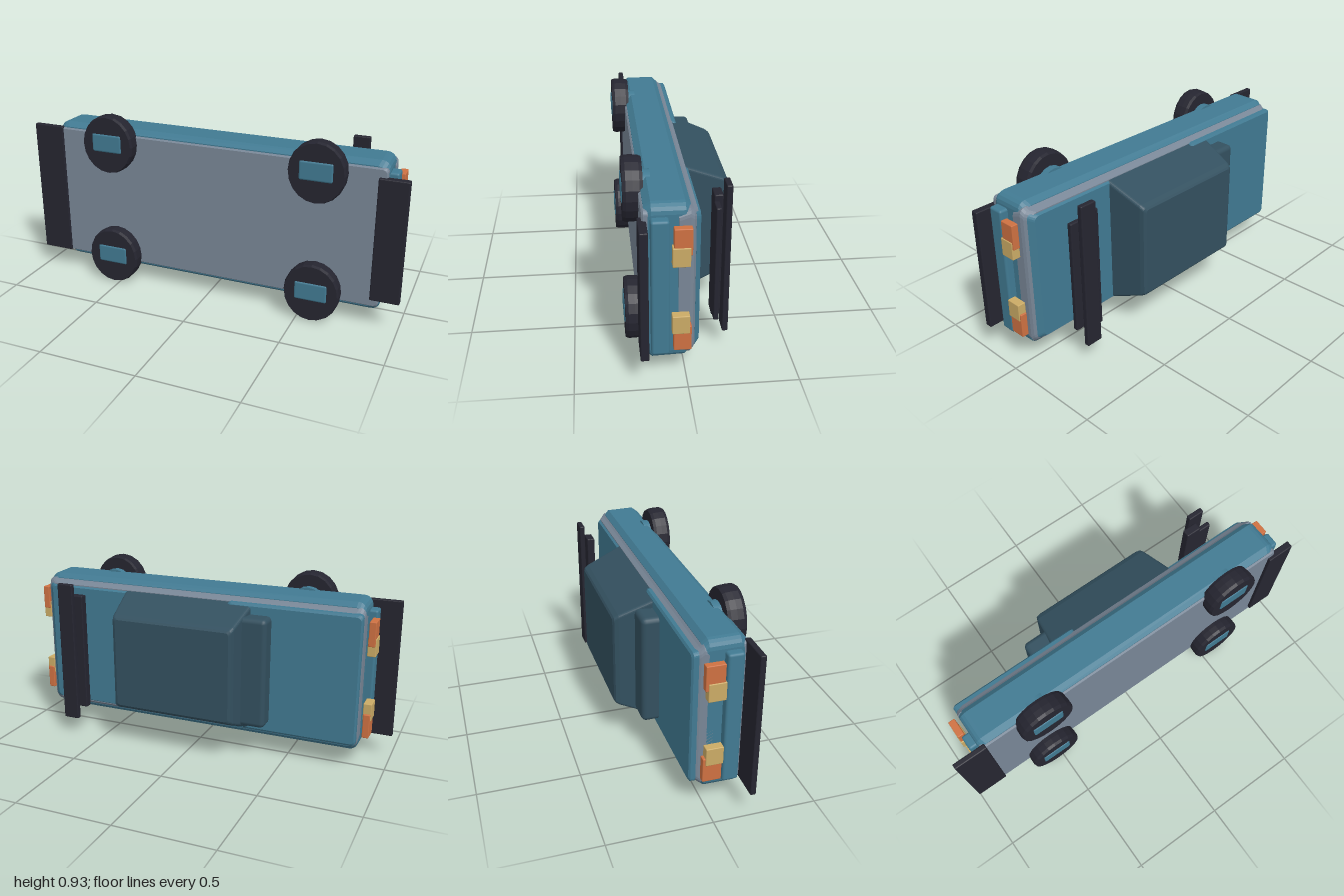
import * as THREE from 'three';
import { RoundedBoxGeometry } from 'three/addons/geometries/RoundedBoxGeometry.js';

const MID = 0.465; // height of the car's centre line (it lies on its side)

const mat = (name, color, flatShading = false) => {
  const m = new THREE.MeshStandardMaterial({ color, flatShading });
  m.name = name;
  return m;
};

// Rounded rectangle outline in xy, counter-clockwise
function outline(x0, x1, h, r) {
  const pts = [];
  const corners = [[x1 - r, h - r], [x0 + r, h - r], [x0 + r, r - h], [x1 - r, r - h]];
  corners.forEach(([cx, cy], q) => {
    for (let i = 0; i <= 4; i++) {
      const a = (q + i / 4) * Math.PI / 2;
      pts.push([cx + r * Math.cos(a), MID + cy + r * Math.sin(a)]);
    }
  });
  return pts;
}

// Skin through layers [z, x0, x1, half height], z ascending, with both ends capped
function loft(layers, r) {
  const rings = layers.map(([z, x0, x1, h]) => outline(x0, x1, h, r).map(([x, y]) => [x, y, z]));
  const pos = [];
  const tri = (...p) => p.forEach((v) => pos.push(...v));
  const n = rings[0].length;
  for (let k = 0; k < rings.length - 1; k++) {
    for (let i = 0; i < n; i++) {
      const j = (i + 1) % n;
      const [a, b, c, d] = [rings[k][i], rings[k][j], rings[k + 1][j], rings[k + 1][i]];
      tri(a, b, c);
      tri(a, c, d);
    }
  }
  const last = rings[rings.length - 1];
  for (let i = 1; i < n - 1; i++) {
    tri(rings[0][0], rings[0][i + 1], rings[0][i]);
    tri(last[0], last[i], last[i + 1]);
  }
  const g = new THREE.BufferGeometry();
  g.setAttribute('position', new THREE.Float32BufferAttribute(pos, 3));
  g.computeVertexNormals();
  return g;
}

export function createModel() {
  const teal = mat('bodyTeal', 0x417a92);
  const grey = mat('trimGrey', 0x788696);
  const glass = mat('cabinSlate', 0x33505f);
  const dark = mat('rubberBlack', 0x252530, true);
  const amber = mat('lampOrange', 0xce7142);
  const yellow = mat('lampYellow', 0xcbab66);

  const car = new THREE.Group();
  car.name = 'car';
  const add = (name, geo, material) => {
    const m = new THREE.Mesh(geo, material);
    m.name = name;
    car.add(m);
    return m;
  };
  // Softened box given by its extents
  const box = (name, material, [x0, x1], [y0, y1], [z0, z1], r = 0.006) =>
    add(name, new RoundedBoxGeometry(x1 - x0, y1 - y0, z1 - z0, 2, r), material)
      .position.set((x0 + x1) / 2, (y0 + y1) / 2, (z0 + z1) / 2);

  // Body shell in stacked layers
  add('lowerBody', loft([
    [-0.02, -0.857, 0.885, 0.36], [0.005, -0.86, 0.897, 0.383],
    [0.15, -0.86, 0.9, 0.385], [0.18, -0.85, 0.89, 0.362],
  ], 0.045), teal);
  add('waistTrim', loft([
    [-0.05, -0.85, 0.87, 0.335], [-0.03, -0.858, 0.897, 0.348],
    [-0.015, -0.86, 0.903, 0.362], [0.035, -0.86, 0.904, 0.345],
  ], 0.035), grey);
  add('underside', loft([
    [0.15, -0.855, 0.895, 0.357], [0.182, -0.855, 0.895, 0.357], [0.19, -0.848, 0.888, 0.35],
  ], 0.02), grey);
  add('deck', loft([
    [-0.062, -0.84, 0.86, 0.322], [-0.04, -0.855, 0.885, 0.336],
  ], 0.025), teal);
  add('hood', loft([
    [-0.072, -0.85, -0.18, 0.325], [-0.064, -0.858, -0.17, 0.336], [-0.04, -0.858, -0.17, 0.338],
  ], 0.02), teal);

  // Cabin and the raised block ahead of it
  add('cabin', loft([
    [-0.262, -0.255, 0.365, 0.232], [-0.255, -0.268, 0.38, 0.242],
    [-0.235, -0.275, 0.386, 0.255], [-0.05, -0.302, 0.412, 0.332],
  ], 0.015), glass);
  box('hoodBlock', glass, [-0.41, -0.26], [0.18, 0.75], [-0.158, -0.05], 0.025);

  // Rear wing blades
  box('wingBlade', dark, [0.6, 0.682], [0.152, 0.778], [-0.187, -0.145]);
  box('wingTopBlade', dark, [0.64, 0.727], [0.088, 0.842], [-0.219, -0.191]);
  box('wingRearBlade', dark, [0.67, 0.75], [0.168, 0.746], [-0.17, -0.145]);

  // Bumper bars and flat splitters at both ends
  box('frontBumper', teal, [-0.9, -0.84], [0.135, 0.795], [0.075, 0.152], 0.012);
  box('rearBumper', teal, [0.88, 0.94], [0.135, 0.795], [0.077, 0.156], 0.012);
  box('frontSplitter', dark, [-1, -0.83], [0.11, 0.828], [0.172, 0.2]);
  box('rearSplitter', dark, [0.855, 1], [0.152, 0.778], [0.17, 0.208]);

  // Lamps, mirrored about the centre line
  for (const s of [-1, 1]) {
    const span = (a, b) => [MID + s * a, MID + s * b].sort((p, q) => p - q);
    box('rearOuterLamp', amber, [0.918, 0.953], span(0.175, 0.299), [-0.018, 0.06], 0.004);
    box('rearInnerLamp', yellow, [0.915, 0.957], span(0.122, 0.212), [-0.01, 0.067], 0.004);
    box('frontOuterLamp', amber, [-0.914, -0.88], span(0.175, 0.299), [-0.028, 0.062], 0.004);
    box('frontInnerLamp', yellow, [-0.918, -0.876], span(0.122, 0.212), [-0.015, 0.068], 0.004);
  }

  // Wheels with teal mounts and hub plates
  const tyre = new THREE.LatheGeometry([
    [0, -0.045], [0.139, -0.045], [0.145, -0.03], [0.148, 0], [0.148, 0.03], [0.142, 0.045], [0, 0.045],
  ].map(([x, y]) => new THREE.Vector2(x, y)), 20).rotateX(Math.PI / 2).scale(0.95, 1.03, 1);
  const mount = new THREE.CylinderGeometry(0.085, 0.085, 0.05, 16).rotateX(Math.PI / 2);
  for (const x of [-0.53, 0.575]) {
    for (const y of [0.152, 0.778]) {
      add('wheel', tyre, dark).position.set(x, y, 0.212);
      add('wheelMount', mount, teal).position.set(x, y, 0.155);
      box('hubPlate', teal, [x - 0.083, x + 0.083], [y - 0.038, y + 0.058], [0.24, 0.262], 0.01);
    }
  }
  return car;
}
